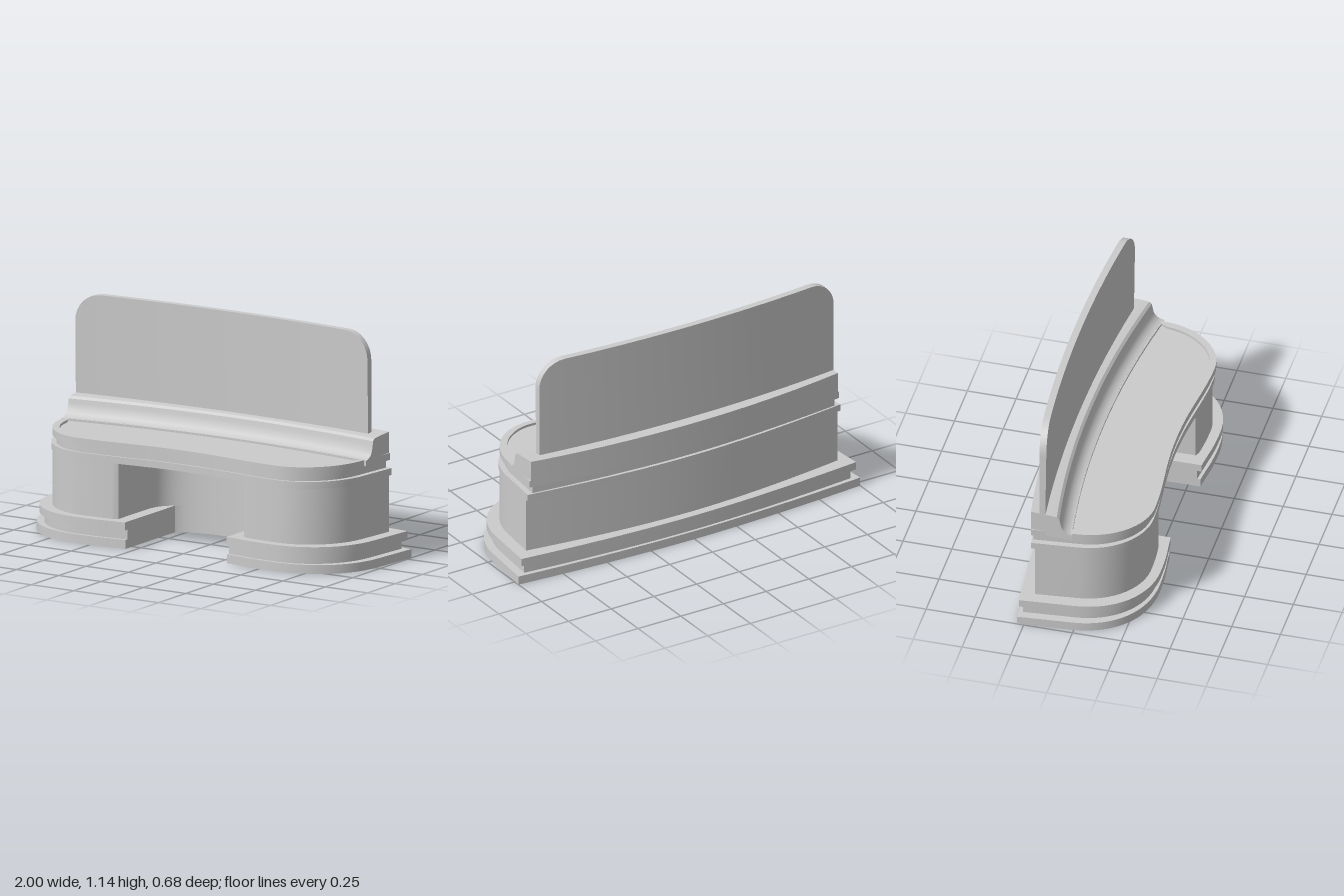
import * as THREE from 'three';
import { toCreasedNormals } from 'three/addons/utils/BufferGeometryUtils.js';

const material = new THREE.MeshStandardMaterial({ color: 0xcccccc, side: THREE.DoubleSide });

// Skins closed sections of equal point count; optional flat caps at the first and last.
// drop: the axis the sections are stacked along
function loft(name, sections, drop, capFirst, capLast) {
  const pos = [];
  const tri = (...pts) => pts.forEach((p) => pos.push(p.x, p.y, p.z));
  for (let i = 0; i < sections.length - 1; i++) {
    const a = sections[i], b = sections[i + 1], n = a.length;
    for (let j = 0; j < n; j++) {
      const k = (j + 1) % n;
      tri(a[j], b[j], a[k]);
      tri(a[k], b[j], b[k]);
    }
  }
  const cap = (s, dir) => {
    const flat = s.map((p) => (drop === 'x' ? new THREE.Vector2(p.z, p.y) : new THREE.Vector2(p.x, p.z)));
    for (const [i, j, k] of THREE.ShapeUtils.triangulateShape(flat, [])) {
      const normal = new THREE.Triangle(s[i], s[j], s[k]).getNormal(new THREE.Vector3());
      if (normal[drop] * dir > 0) tri(s[i], s[j], s[k]);
      else tri(s[i], s[k], s[j]);
    }
  };
  if (capFirst) cap(sections[0], -1);
  if (capLast) cap(sections[sections.length - 1], 1);
  const geo = new THREE.BufferGeometry();
  geo.setAttribute('position', new THREE.Float32BufferAttribute(pos, 3));
  const mesh = new THREE.Mesh(toCreasedNormals(geo, 0.6), material);
  mesh.name = name;
  return mesh;
}

// Half of the plan from the middle of the back, round the side, to the front lobe
function sidePath(w, corner, back, front) {
  return new THREE.Path()
    .moveTo(0, back)
    .quadraticCurveTo(w * 0.42, back, w, corner)
    .lineTo(w * 0.975, 0)
    .bezierCurveTo(w * 0.955, front * 0.6, w * 0.8, front, 0.58, front);
}

// Mirrors half a plan and lifts it to height y
function ring(half, y) {
  const mirrored = half.slice(1, -1).reverse().map((p) => new THREE.Vector2(-p.x, p.y));
  return [...half, ...mirrored].map((p) => new THREE.Vector3(p.x, y, p.y));
}

// Plan with a knee hole; knee is the half width of the opening
function kneePlan(y, [w, corner, back, front, knee]) {
  const outer = sidePath(w, corner, back, front);
  outer.quadraticCurveTo(0.47, front, 0.39, front - 0.012);
  const inner = new THREE.Path()
    .moveTo(0.37, front - 0.022)
    .lineTo(0.37, 0)
    .bezierCurveTo(0.37, -0.12, 0.28, -0.18, 0.12, -0.195)
    .lineTo(0, -0.2);
  const innerPts = inner.getPoints(14);
  innerPts.forEach((p) => { p.x = Math.min(p.x, knee); });
  return ring([...outer.getPoints(16), ...innerPts], y);
}

// Kidney-shaped plan for the worktop layers
function kidneyPlan(y, [w, corner, back, front]) {
  const path = sidePath(w, corner, back, front);
  path.bezierCurveTo(0.38, front, 0.25, front - 0.04, 0, front - 0.04);
  return ring(path.getPoints(16), y);
}

export function createModel() {
  const model = new THREE.Group();
  model.name = 'dressingTable';

  // Hollow stepped base and body, open underneath
  const foot = [1.0, -0.285, -0.335, 0.335, 0.3];
  const footGroove = [0.955, -0.265, -0.32, 0.318, 0.3];
  const footTop = [0.98, -0.28, -0.34, 0.341, 0.3];
  const wall = [0.912, -0.215, -0.295, 0.292, 0.37];
  model.add(loft('base', [
    kneePlan(0, foot), kneePlan(0.045, foot),
    kneePlan(0.045, footGroove), kneePlan(0.095, footGroove),
    kneePlan(0.095, footTop), kneePlan(0.135, footTop),
    kneePlan(0.135, wall),
  ], 'y'));
  model.add(loft('body', [kneePlan(0.135, wall), kneePlan(0.42, wall)], 'y'));

  // Trim band and recessed neck under the worktop
  const trim = [0.915, -0.235, -0.31, 0.304];
  const neck = [0.885, -0.23, -0.293, 0.292];
  model.add(loft('trim', [kidneyPlan(0.42, trim), kidneyPlan(0.455, trim)], 'y', true, true));
  model.add(loft('neck', [kidneyPlan(0.455, neck), kidneyPlan(0.496, neck)], 'y'));

  // Worktop with a raised rim round a sunken panel
  const top = [0.905, -0.238, -0.313, 0.312];
  const panel = [0.868, -0.04, -0.115, 0.283];
  model.add(loft('worktop', [
    kidneyPlan(0.495, top), kidneyPlan(0.53, top),
    kidneyPlan(0.53, panel), kidneyPlan(0.517, panel),
  ], 'y', true, true));

  // Curved back shelf with a coved front, profile as [z, y]
  const profile = [
    [-0.03, 0.5], [-0.03, 0.528], [-0.05, 0.533], [-0.07, 0.545], [-0.083, 0.565],
    [-0.09, 0.595], [-0.094, 0.615], [-0.107, 0.627], [-0.14, 0.631], [-0.24, 0.637], [-0.24, 0.5],
  ];
  const shelf = [];
  for (let i = 0; i <= 24; i++) {
    const t = i / 12 - 1;
    const shift = -0.075 * (1 - t * t);
    shelf.push(profile.map(([z, y]) => new THREE.Vector3(t * 0.898, y, z + shift)));
  }
  model.add(loft('backShelf', shelf, 'x', true, true));

  // Bowed upright panel with rounded top corners, set slightly off centre
  const halfW = 0.862, r = 0.14, xs = [];
  for (let i = 0; i <= 8; i++) xs.push(-halfW + r * (1 - Math.cos((i / 8) * Math.PI / 2)));
  for (let i = 1; i < 20; i++) xs.push((halfW - r) * (i / 10 - 1));
  for (let i = 8; i >= 0; i--) xs.push(halfW - r * (1 - Math.cos((i / 8) * Math.PI / 2)));
  const mirror = xs.map((x) => {
    const d = Math.max(0, Math.abs(x) - (halfW - r));
    const topY = 1.14 - r + Math.sqrt(Math.max(0, r * r - d * d));
    const z = -0.178 - 0.05 * (1 - (x / halfW) ** 2);
    return [[z + 0.013, 0.62], [z + 0.018, topY], [z - 0.017, topY], [z - 0.017, 0.62]]
      .map(([pz, py]) => new THREE.Vector3(x - 0.04, py, pz));
  });
  model.add(loft('mirrorPanel', mirror, 'x', true, true));

  return model;
}
